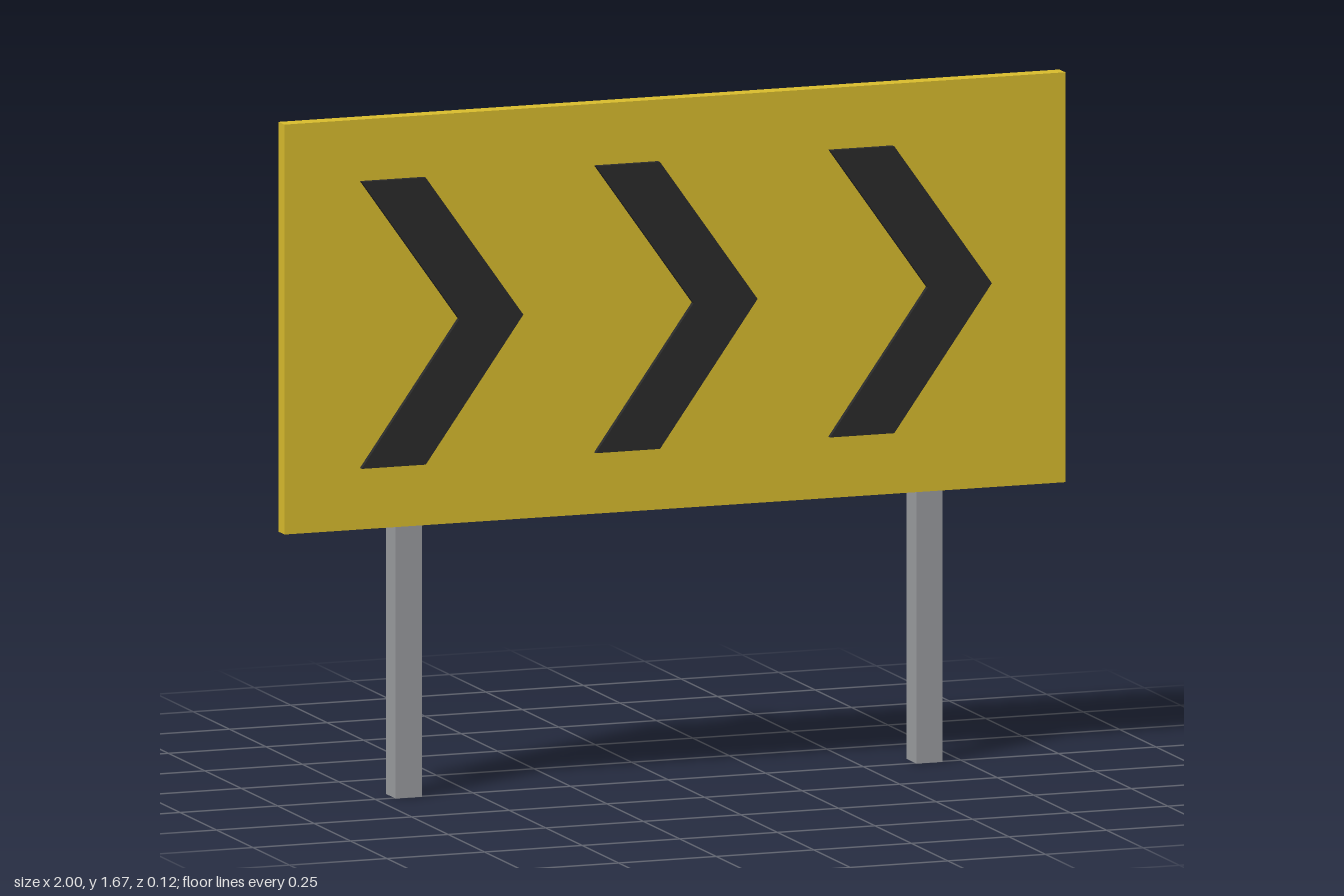
import * as THREE from 'three';

const yellow = new THREE.MeshStandardMaterial({ color: 0xd9bc2d });
const black = new THREE.MeshStandardMaterial({ color: 0x2b2b2b });
const steel = new THREE.MeshStandardMaterial({ color: 0x9a9c9f });

const POST = 0.067;               // square post width
const BACK = 0.007, FRONT = 0.047; // panel faces in z

export function createModel() {
  const sign = new THREE.Group();
  sign.name = 'chevronRoadSign';

  const add = (name, geometry, material, x, y, z) => {
    const mesh = new THREE.Mesh(geometry, material);
    mesh.name = name;
    mesh.position.set(x, y, z);
    sign.add(mesh);
  };

  // Panel
  add('panel', new THREE.BoxGeometry(2, 1, FRONT - BACK), yellow, 0, 1.17, (FRONT + BACK) / 2);

  // Square posts behind the panel
  const postGeometry = new THREE.BoxGeometry(POST, 1.62, POST);
  for (const [name, x] of [['leftPost', 0.667], ['rightPost', -0.667]]) {
    add(name, postGeometry, steel, x, 0.81, BACK - POST / 2);
  }

  // Raised chevrons pointing to +x
  const outline = [[-0.207, -0.35], [-0.043, -0.35], [0.207, 0], [-0.043, 0.35], [-0.207, 0.35], [0.043, 0]];
  const shape = new THREE.Shape(outline.map(([x, y]) => new THREE.Vector2(x, y)));
  const chevronGeometry = new THREE.ExtrudeGeometry(shape, { depth: 0.013, bevelEnabled: false });
  ['rightChevron', 'middleChevron', 'leftChevron'].forEach((name, i) => {
    add(name, chevronGeometry, black, (i - 1) * 0.6, 1.17, FRONT);
  });

  return sign;
}
